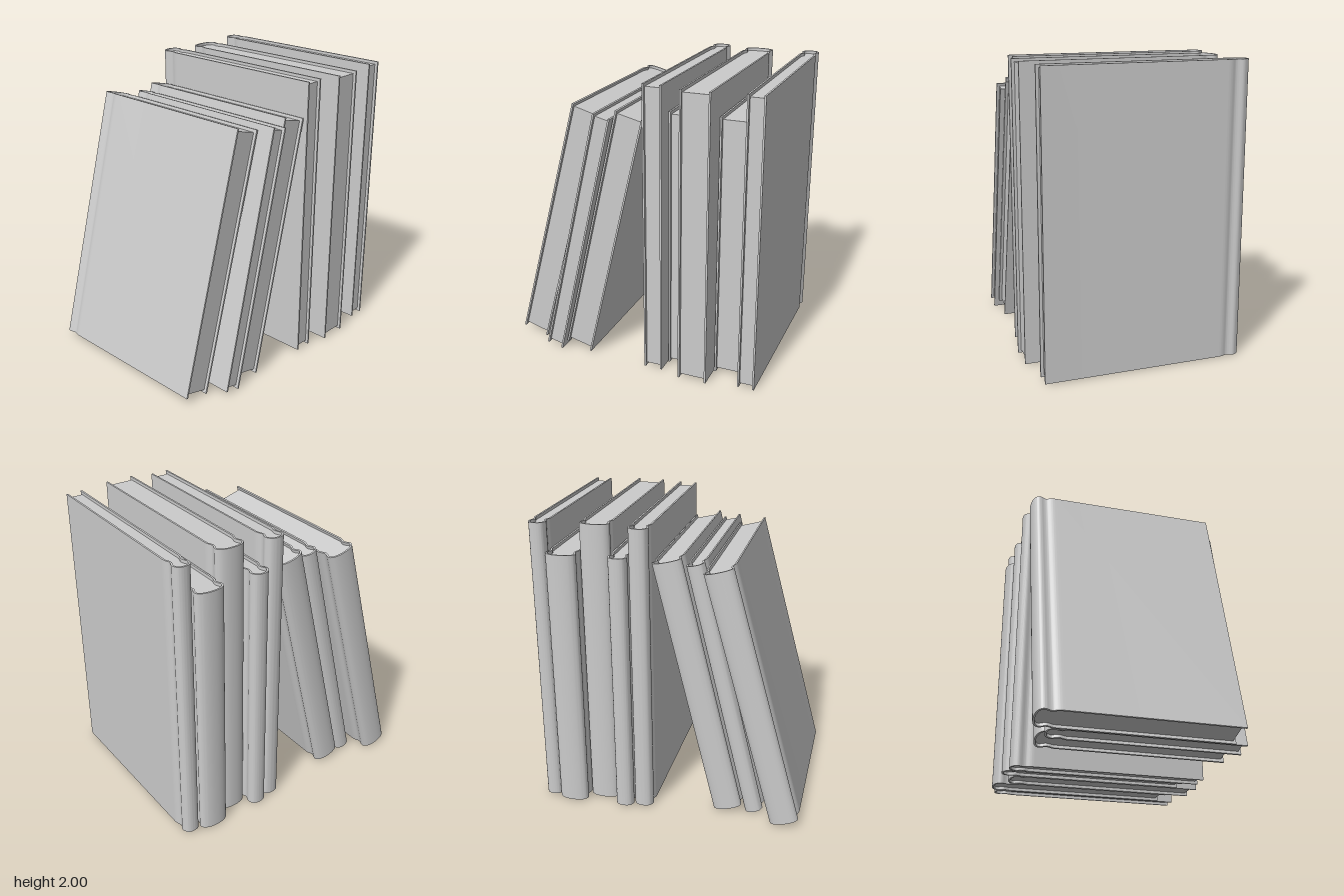
import * as THREE from 'three';
import { toCreasedNormals } from 'three/addons/utils/BufferGeometryUtils.js';

const material = new THREE.MeshStandardMaterial({ color: 0xcccccc });
const BOARD = 0.012; // cover thickness
const LIP = 0.02; // how far the covers stand out past the pages

// Extrudes an outline drawn in (x, -z) upwards along y
function upright(points, height, name) {
  const geo = new THREE.ExtrudeGeometry(new THREE.Shape(points), { depth: height, bevelEnabled: false });
  geo.rotateX(-Math.PI / 2);
  const mesh = new THREE.Mesh(toCreasedNormals(geo, 0.6), material);
  mesh.name = name;
  return mesh;
}

// Cover line seen from above: right hinge groove, rounded spine, left hinge groove
function spineLine(w, back) {
  const r = w / 2;
  const half = [
    [r, 0.17], [r, 0.145], [r - 0.004, 0.125], [r - 0.013, 0.1], [r - 0.01, 0.08],
    [r - 0.001, 0.06], [r, 0.045], [r - 0.006, 0.03], [r * 0.72, 0.013], [r * 0.38, 0.003],
  ].map(([x, d]) => new THREE.Vector2(x, back - d));
  const mirrored = half.slice().reverse().map(p => new THREE.Vector2(-p.x, p.y));
  return new THREE.SplineCurve([...half, new THREE.Vector2(0, back), ...mirrored]).getPoints(72);
}

// Shifts a line to its inner side
function inset(line, t) {
  return line.map((p, i) => {
    const a = line[Math.max(i - 1, 0)];
    const b = line[Math.min(i + 1, line.length - 1)];
    const dir = b.clone().sub(a).normalize();
    return new THREE.Vector2(p.x - dir.y * t, p.y + dir.x * t);
  });
}

function makeBook(w, h, zBack, zFront) {
  const book = new THREE.Group();
  const r = w / 2;
  const spine = spineLine(w, -zBack);
  const inner = inset(spine, BOARD);

  // Case: both boards and the spine in one wrapped outline
  const cover = upright([
    new THREE.Vector2(r, -zFront), ...spine, new THREE.Vector2(-r, -zFront),
    new THREE.Vector2(-r + BOARD, -zFront), ...inner.slice().reverse(), new THREE.Vector2(r - BOARD, -zFront),
  ], h, 'cover');

  // Page block, recessed at the top, bottom and front
  const edge = r - BOARD - 0.001;
  const pages = upright([
    new THREE.Vector2(edge, -zFront + LIP), ...inset(spine, BOARD + 0.001), new THREE.Vector2(-edge, -zFront + LIP),
  ], h - 2 * LIP, 'pages');
  pages.position.y = LIP;

  book.add(cover, pages);
  return book;
}

export function createModel() {
  const model = new THREE.Group();
  model.name = 'rowOfBooks';

  // x, y of the bottom centre, lean in degrees, width, height, back z, front z
  const books = [
    [-0.81, 0.03, 15.2, 0.195, 1.8, -0.72, 0.57],
    [-0.585, 0.018, 13.5, 0.122, 1.795, -0.605, 0.685],
    [-0.405, 0.035, 13.5, 0.196, 1.795, -0.635, 0.655],
    [0.179, 0.01, 0, 0.13, 1.99, -0.69, 0.68],
    [0.31, 0.01, 0, 0.125, 1.8, -0.72, 0.57],
    [0.478, 0.01, 0, 0.2, 1.99, -0.645, 0.725],
    [0.683, 0.01, 0, 0.2, 1.8, -0.73, 0.56],
    [0.843, 0.01, 0, 0.116, 1.99, -0.69, 0.68],
  ];
  books.forEach(([x, y, lean, w, h, zBack, zFront], i) => {
    const book = makeBook(w, h, zBack, zFront);
    book.name = (lean ? 'leaningBook' : 'uprightBook') + (i + 1);
    book.position.set(x, y, 0);
    book.rotation.z = -THREE.MathUtils.degToRad(lean);
    model.add(book);
  });
  return model;
}
